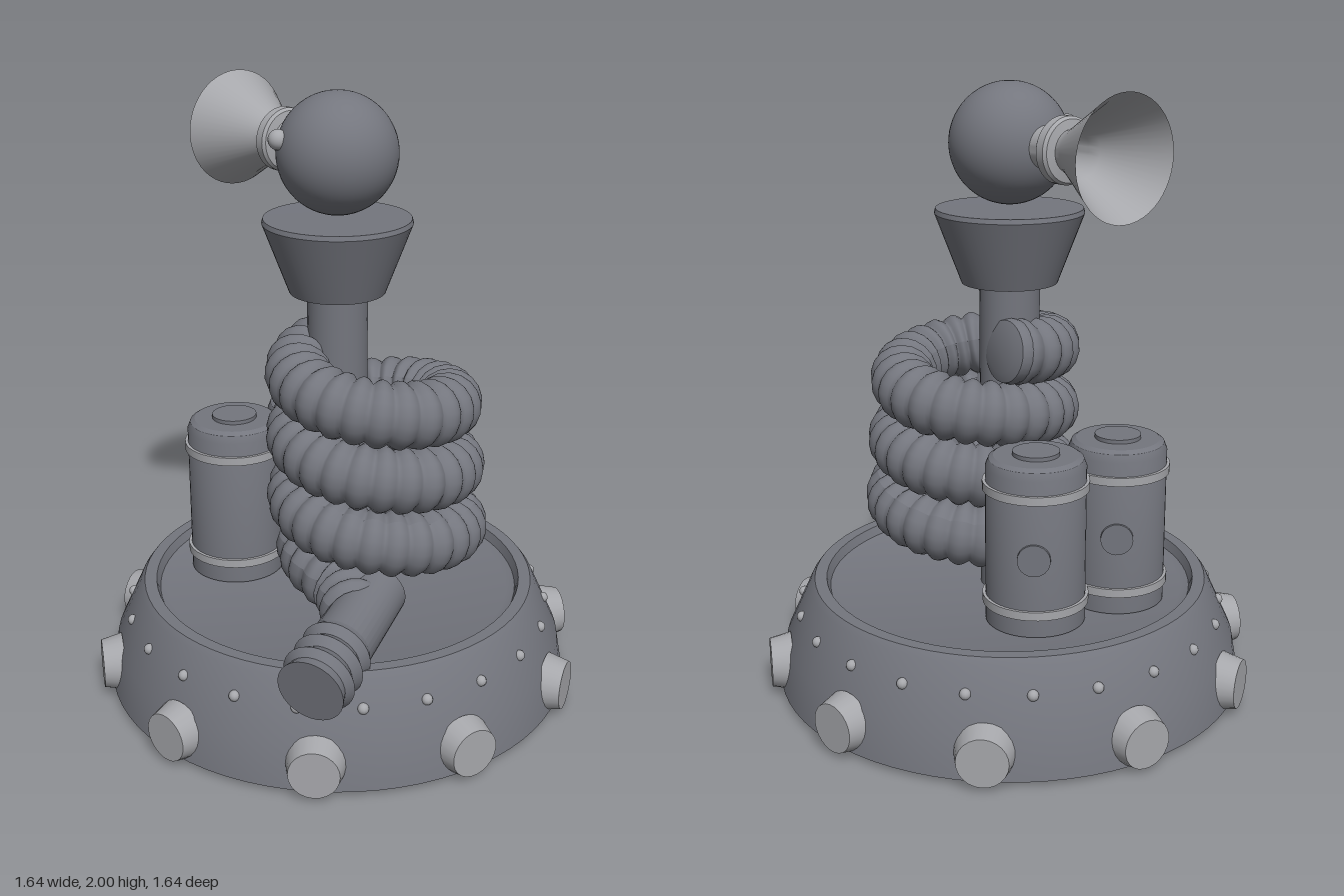
import * as THREE from 'three';
import { toCreasedNormals } from 'three/addons/utils/BufferGeometryUtils.js';

const dark = new THREE.MeshStandardMaterial({ name: 'dark grey', color: 0x74767e, side: THREE.DoubleSide });
const light = new THREE.MeshStandardMaterial({ name: 'light grey', color: 0xa6a7ab, side: THREE.DoubleSide });
const UP = new THREE.Vector3(0, 1, 0);
const V = (x, y, z) => new THREE.Vector3(x, y, z);

function add(parent, name, geometry, material, x = 0, y = 0, z = 0) {
  const mesh = new THREE.Mesh(geometry, material);
  mesh.name = name;
  mesh.position.set(x, y, z);
  parent.add(mesh);
  return mesh;
}

// Lathe from [radius, height] pairs, sharp where the profile turns hard
function turned(points, segments = 48) {
  const geometry = new THREE.LatheGeometry(points.map(p => new THREE.Vector2(...p)), segments);
  return toCreasedNormals(geometry, 0.45);
}

const point = (mesh, direction) => mesh.quaternion.setFromUnitVectors(UP, direction.clone().normalize());

// Tube whose radius swells and shrinks along its length
function ribbedTube(curve, ribs, inner, outer) {
  const steps = ribs * 8, sides = 18;
  const geometry = new THREE.TubeGeometry(curve, steps, 1, sides);
  const pos = geometry.attributes.position, p = V(), c = V();
  for (let i = 0; i <= steps; i++) {
    curve.getPointAt(i / steps, c);
    const r = inner + (outer - inner) * Math.abs(Math.sin(i * Math.PI / 8));
    for (let j = 0; j <= sides; j++) {
      const k = i * (sides + 1) + j;
      p.fromBufferAttribute(pos, k).sub(c).multiplyScalar(r).add(c);
      pos.setXYZ(k, p.x, p.y, p.z);
    }
  }
  geometry.computeVertexNormals();
  return geometry;
}

function makeTank(x, z) {
  const tank = new THREE.Group();
  tank.name = 'tank';
  tank.position.set(x, 0, z);
  add(tank, 'tankBody', turned([[0.16, 0.33], [0.16, 0.845], [0.15, 0.87], [0.135, 0.88], [0, 0.88]]), dark);
  add(tank, 'tankCap', new THREE.CylinderGeometry(0.075, 0.075, 0.02, 32), dark, 0, 0.883, 0);
  for (const y of [0.405, 0.785])
    add(tank, 'tankBand', new THREE.CylinderGeometry(0.17, 0.17, 0.028, 40), light, 0, y, 0);
  const out = V(0.66, 0, -0.75);
  const port = add(tank, 'tankPort', new THREE.CylinderGeometry(0.052, 0.052, 0.03, 24), dark, out.x * 0.153, 0.59, out.z * 0.153);
  point(port, out);
  return tank;
}

export function createModel() {
  const model = new THREE.Group();
  model.name = 'model';

  // Hollow base with a sunken deck
  add(model, 'base', turned([[0.785, 0.02], [0.76, 0.16], [0.675, 0.345], [0.66, 0.365],
    [0.62, 0.365], [0.608, 0.335], [0.58, 0.325], [0, 0.325]], 72), dark);

  // Lugs round the skirt
  for (let i = 0; i < 10; i++) {
    const a = (8 + i * 36) * Math.PI / 180, out = V(Math.sin(a), 0, -Math.cos(a));
    const lug = add(model, 'lug', new THREE.CylinderGeometry(0.08, 0.096, 0.07, 24), light, out.x * 0.783, 0.1, out.z * 0.783);
    point(lug, out);
  }

  // Rivets on the slope
  for (let i = 0; i < 22; i++) {
    const a = i / 22 * Math.PI * 2;
    add(model, 'rivet', new THREE.SphereGeometry(0.018, 12, 8), light, Math.sin(a) * 0.71, 0.265, -Math.cos(a) * 0.71);
  }

  // Column and cup
  add(model, 'column', new THREE.CylinderGeometry(0.098, 0.098, 1.08, 32), dark, 0, 0.855, 0);
  add(model, 'cup', turned([[0, 1.365], [0.155, 1.365], [0.24, 1.59], [0.236, 1.605], [0.22, 1.605], [0, 1.603]]), dark);

  // Ball head with a small knob
  add(model, 'head', new THREE.SphereGeometry(0.192, 48, 32), dark, 0, 1.808, 0);
  add(model, 'knob', new THREE.SphereGeometry(0.032, 20, 14), light, -0.176, 1.86, -0.07);

  // Horn pointing backwards, open at its mouth
  const horn = new THREE.Group();
  horn.name = 'horn';
  horn.position.y = 1.81;
  horn.rotation.x = -Math.PI / 2;
  add(horn, 'hornBell', turned([[0.067, 0.16], [0.067, 0.3], [0.08, 0.335], [0.19, 0.535]]), light);
  add(horn, 'hornCollar', turned([[0.067, 0.24], [0.095, 0.245], [0.103, 0.255], [0.103, 0.285], [0.095, 0.295], [0.067, 0.3]]), light);
  model.add(horn);

  // Tanks behind the column
  model.add(makeTank(-0.195, -0.317), makeTank(0.12, -0.285));

  // Hose winding down round the column, then tucking under to the nozzle
  const path = [];
  for (let deg = -190; deg <= 900; deg += 15) {
    const a = deg * Math.PI / 180, t = (deg + 190) / 1090;
    const r = 0.238 + 0.02 * t;
    path.push(V(0.03 + Math.sin(a) * r, 1.163 - 0.21 * (deg + 190) / 360, 0.14 + 0.035 * t + Math.cos(a) * r));
  }
  path.push(V(-0.11, 0.495, -0.02), V(-0.17, 0.475, 0.12), V(-0.17, 0.455, 0.24), V(-0.23, 0.435, 0.37));
  const hosePath = new THREE.CatmullRomCurve3(path);
  hosePath.arcLengthDivisions = 1500;
  add(model, 'hose', ribbedTube(hosePath, 86, 0.09, 0.108), dark);

  // Rounded plug closing the upper end of the hose
  const plug = add(model, 'hosePlug', turned([[0, -0.03], [0.1, -0.03], [0.106, 0], [0.1, 0.025], [0.07, 0.035], [0, 0.038]], 32), dark);
  plug.position.copy(path[0]);
  point(plug, path[0].clone().sub(path[1]));

  // Nozzle with a ribbed mouth
  const start = V(-0.09, 0.45, 0.32), end = V(-0.545, 0.365, 0.545);
  const nozzle = add(model, 'nozzle', turned([[0, 0], [0.095, 0], [0.1, 0.3], [0.115, 0.33], [0.095, 0.36],
    [0.116, 0.39], [0.095, 0.42], [0.118, 0.455], [0.098, 0.48], [0.108, 0.515], [0, 0.515]], 32), dark);
  nozzle.position.copy(start);
  point(nozzle, end.sub(start));

  return model;
}
